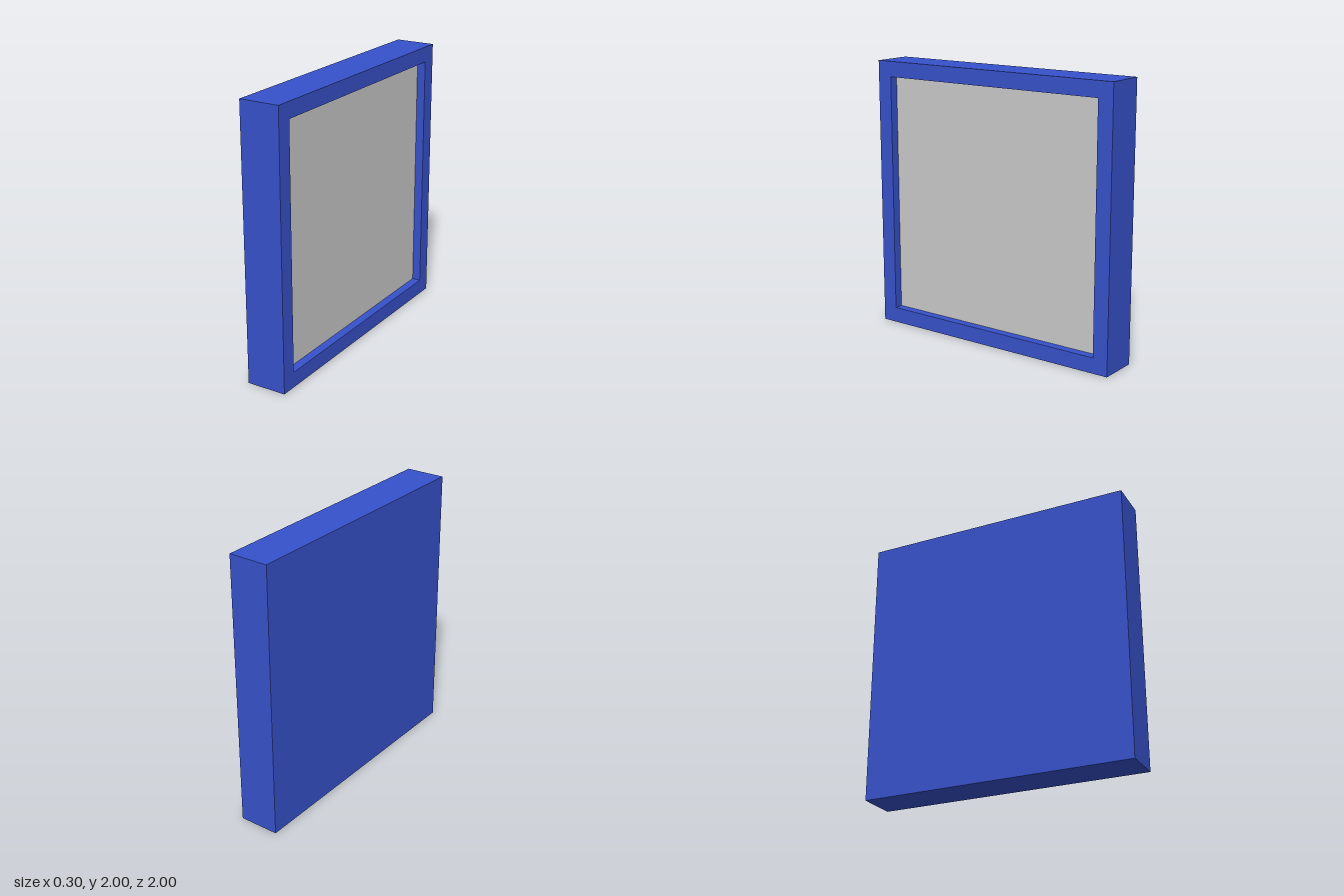
import * as THREE from 'three';

const HALF = 1, INNER = 0.886, HALF_DEPTH = 0.148, RECESS = 0.064;

// Square outline of half-size h
const square = (h, Type) => new Type([[-h, -h], [h, -h], [h, h], [-h, h]].map(([x, y]) => new THREE.Vector2(x, y)));

export function createModel() {
  const model = new THREE.Group();
  model.name = 'framedPanel';
  const blue = new THREE.MeshStandardMaterial({ color: 0x3752cb });
  const pale = new THREE.MeshStandardMaterial({ color: 0xdddbd9 });
  const floorX = HALF_DEPTH - RECESS;

  const add = (name, geometry, material, x) => {
    const mesh = new THREE.Mesh(geometry, material);
    mesh.name = name;
    mesh.position.set(x, HALF, 0);
    model.add(mesh);
  };

  // Square border, closed at the back, open towards +x
  const outline = square(HALF, THREE.Shape);
  outline.holes.push(square(INNER, THREE.Path));
  const border = new THREE.ExtrudeGeometry(outline, { depth: HALF_DEPTH * 2, bevelEnabled: false });
  border.rotateY(Math.PI / 2);
  add('frame', border, blue, -HALF_DEPTH);

  // Backing closes the rear opening flush with the border
  const back = new THREE.PlaneGeometry(INNER * 2, INNER * 2).rotateY(-Math.PI / 2);
  add('backing', back, blue, -HALF_DEPTH);

  // Recessed pale panel
  const panel = new THREE.PlaneGeometry(INNER * 2, INNER * 2).rotateY(Math.PI / 2);
  add('panel', panel, pale, floorX);

  return model;
}
